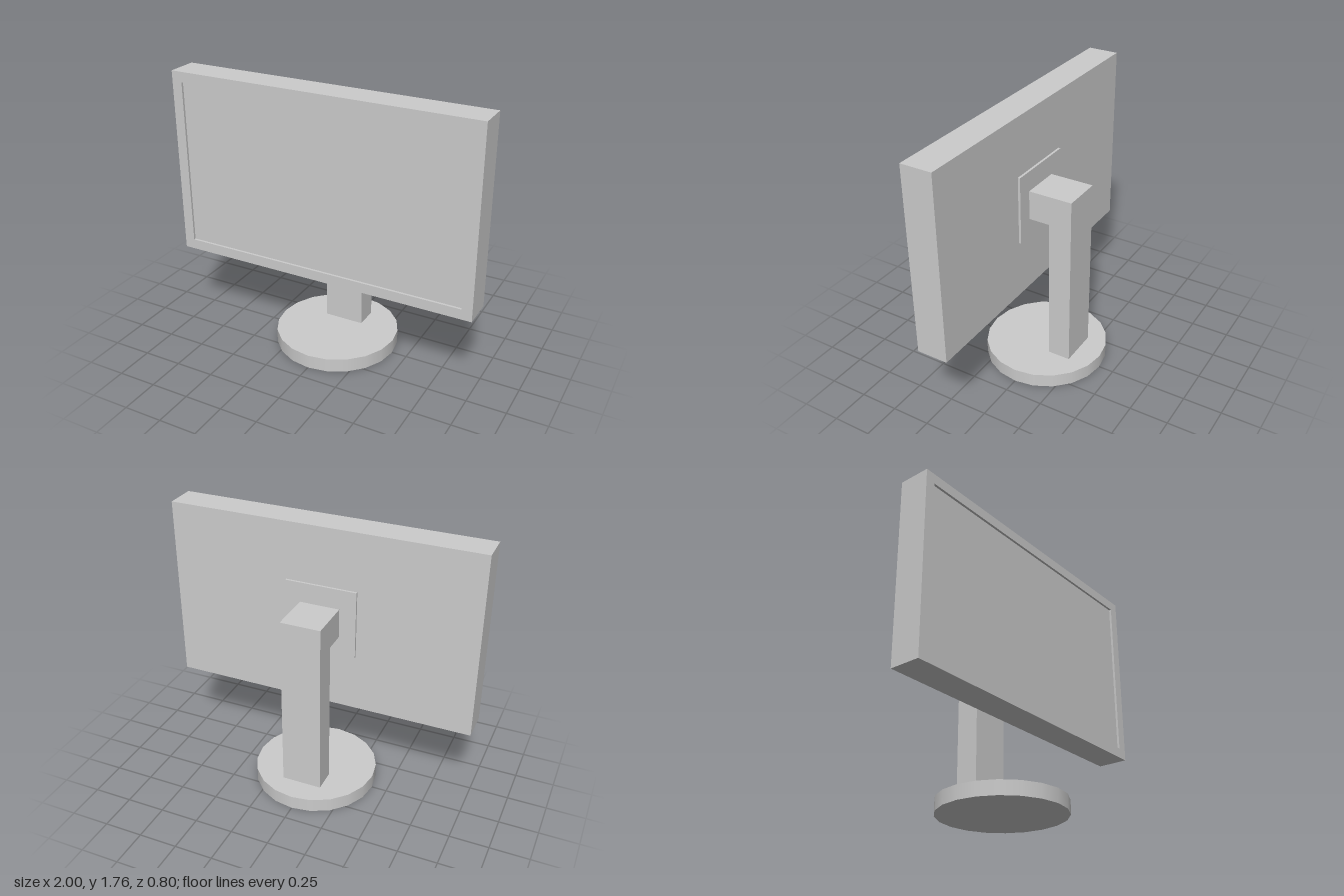
import * as THREE from 'three';

const material = new THREE.MeshStandardMaterial({ color: 0xcccccc });

function add(group, name, geometry, x = 0, y = 0, z = 0) {
  const mesh = new THREE.Mesh(geometry, material);
  mesh.name = name;
  mesh.position.set(x, y, z);
  group.add(mesh);
}

// Closed solid through rectangular rings [halfWidth, bottom, top, z], flat shaded
function rectLoft(rings) {
  const loops = rings.map(([w, b, t, z]) => [[-w, b, z], [w, b, z], [w, t, z], [-w, t, z]]);
  const positions = [];
  const quad = (a, b, c, d) => positions.push(...a, ...b, ...c, ...a, ...c, ...d);
  for (let r = 0; r < loops.length - 1; r++) {
    for (let i = 0; i < 4; i++) {
      const j = (i + 1) % 4;
      quad(loops[r][i], loops[r][j], loops[r + 1][j], loops[r + 1][i]);
    }
  }
  quad(...[...loops[0]].reverse());
  quad(...loops[loops.length - 1]);
  const geometry = new THREE.BufferGeometry();
  geometry.setAttribute('position', new THREE.Float32BufferAttribute(positions, 3));
  geometry.computeVertexNormals();
  return geometry;
}

export function createModel() {
  const model = new THREE.Group();
  model.name = 'monitor';

  // Round foot
  add(model, 'base', new THREE.CylinderGeometry(0.4, 0.4, 0.09, 20), 0, 0.045, 0);

  // L-shaped stand: upright post with an arm reaching forward (profile in z, y)
  const profile = new THREE.Shape([
    [-0.243, 0.09], [-0.093, 0.09], [-0.093, 1.06], [0.045, 1.06], [0.045, 1.25], [-0.243, 1.25],
  ].map(([z, y]) => new THREE.Vector2(z, y)));
  const stand = new THREE.ExtrudeGeometry(profile, { depth: 0.26, bevelEnabled: false });
  stand.translate(0, 0, -0.13).rotateY(-Math.PI / 2);
  add(model, 'stand', stand);

  // Mounting plate on the back of the display
  add(model, 'mountPlate', new THREE.BoxGeometry(0.465, 0.445, 0.015), -0.005, 1.158, 0.0525);

  // Display housing with a shallow recessed screen
  add(model, 'display', rectLoft([
    [1, 0.557, 1.757, 0.06],
    [1, 0.557, 1.757, 0.26],
    [0.933, 0.623, 1.692, 0.26],
    [0.933, 0.623, 1.692, 0.245],
  ]));

  return model;
}
